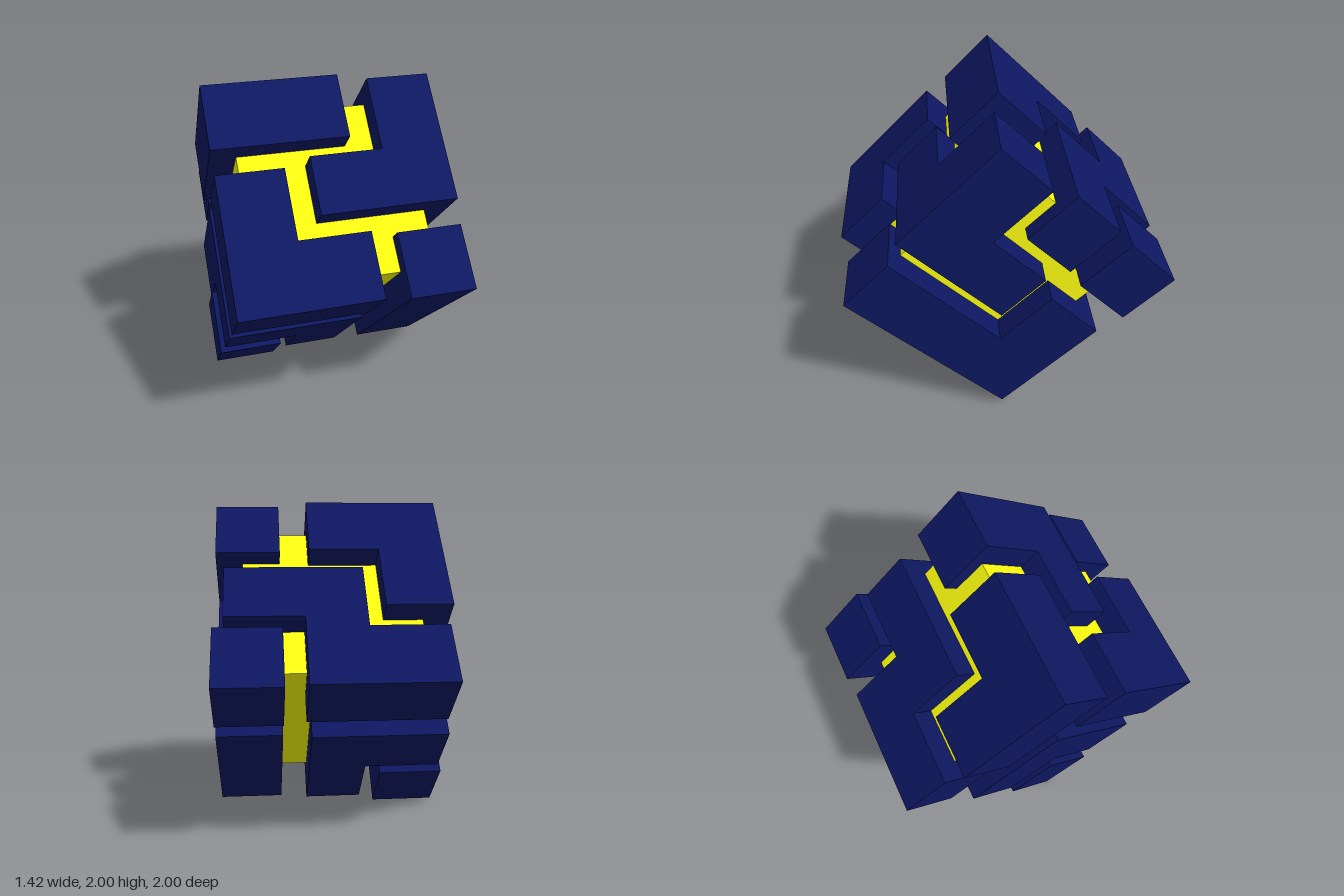
import * as THREE from 'three';
import { mergeGeometries } from 'three/addons/utils/BufferGeometryUtils.js';

const navy = new THREE.MeshStandardMaterial({ color: 0x0e1862 });
const yellow = new THREE.MeshStandardMaterial({ color: 0xffff10 });

// Box from its ranges along x, y and z
function box([x0, x1, y0, y1, z0, z1]) {
  return new THREE.BoxGeometry(x1 - x0, y1 - y0, z1 - z0)
    .translate((x0 + x1) / 2, (y0 + y1) / 2, (z0 + z1) / 2);
}

// Puzzle pieces in the cube's own axes, before it is tipped onto its edge:
// y is the upper back side, z the upper front side
const pieces = {
  topCornerPiece: [
    [-0.69, 0.135, 0.28, 0.686, 0.28, 0.686],
    [-0.69, -0.29, 0.28, 0.686, -0.158, 0.28],
  ],
  topSidePiece: [
    [0.31, 0.70, 0.18, 0.64, 0.295, 0.693],
    [-0.13, 0.70, -0.18, 0.18, 0.295, 0.693],
    [0.31, 0.70, -0.18, 0.185, -0.138, 0.295],
  ],
  frontCornerPiece: [
    [-0.69, 0.135, -0.707, -0.31, 0.31, 0.707],
    [-0.69, -0.29, -0.31, 0.12, 0.31, 0.707],
  ],
  frontSidePiece: [
    [0.31, 0.708, -0.714, -0.32, -0.68, 0.63],
    [0.31, 0.708, -0.32, 0.113, -0.68, -0.267],
  ],
  backCornerBlock: [
    [0.31, 0.705, 0.295, 0.695, -0.72, -0.32],
  ],
  backZigzagPiece: [
    [-0.645, 0.18, 0.30, 0.69, -0.703, -0.31],
    [-0.18, 0.18, 0.30, 0.69, -0.31, -0.24],
    [-0.18, 0.645, 0.30, 0.69, -0.24, 0.13],
  ],
  bottomBranchPiece: [
    [-0.69, 0.14, -0.705, 0.113, -0.24, 0.14],
    [-0.69, 0.14, -0.28, 0.113, -0.70, -0.24],
    [-0.22, 0.14, -0.705, -0.28, -0.70, -0.24],
  ],
  bottomCornerBlock: [
    [-0.713, -0.315, -0.728, -0.32, -0.728, -0.32],
  ],
};

export function createModel() {
  const model = new THREE.Group();
  model.name = 'puzzleCube';

  // Cube balanced on one edge
  const cube = new THREE.Group();
  cube.name = 'tiltedCube';
  cube.rotation.x = -Math.PI / 4;
  cube.position.y = 1.03;
  model.add(cube);

  // Inner core that shows through the grooves
  const core = new THREE.Mesh(box([-0.53, 0.54, -0.535, 0.54, -0.53, 0.54]), yellow);
  core.name = 'core';
  cube.add(core);

  // Interlocking outer pieces
  for (const [name, boxes] of Object.entries(pieces)) {
    const mesh = new THREE.Mesh(mergeGeometries(boxes.map(box)), navy);
    mesh.name = name;
    cube.add(mesh);
  }
  return model;
}
